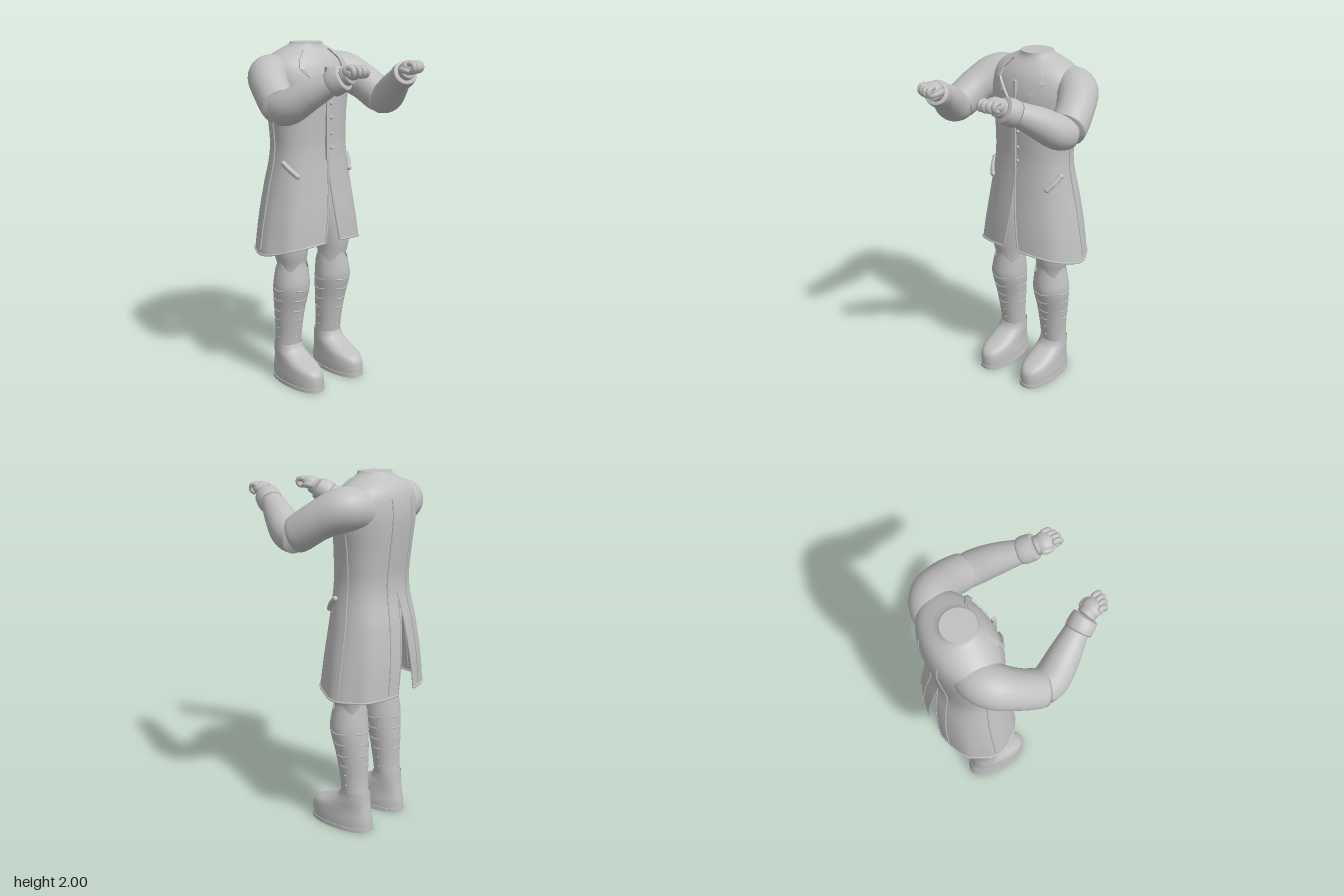
import * as THREE from 'three';
import { mergeVertices } from 'three/addons/utils/BufferGeometryUtils.js';

const V = (x, y, z) => new THREE.Vector3(x, y, z);
const grey = new THREE.MeshStandardMaterial({ color: 0xc0c0c0, side: THREE.DoubleSide });
grey.name = 'plain grey';

// weld a geometry so that its normals run smoothly across the seam
function weld(g) {
  g.deleteAttribute('normal');
  g.deleteAttribute('uv');
  g = mergeVertices(g, 1e-5);
  g.computeVertexNormals();
  return g;
}

// give every face its own corners, for crisp edges
function crisp(g) {
  g = g.toNonIndexed();
  g.computeVertexNormals();
  return g.setIndex([...Array(g.attributes.position.count).keys()]);
}

// surface from cross-sections: f(u, v) gives a point, u around and v upward
function loft(f, nu, nv) {
  const pos = [], idx = [], w = nu + 1;
  for (let j = 0; j <= nv; j++) for (let i = 0; i <= nu; i++) pos.push(...f(i / nu, j / nv).toArray());
  for (let j = 0; j < nv; j++) for (let i = 0; i < nu; i++) {
    const a = j * w + i, b = a + 1, c = a + w, d = c + 1;
    idx.push(a, b, d, a, d, c);
  }
  const g = new THREE.BufferGeometry();
  g.setAttribute('position', new THREE.Float32BufferAttribute(pos, 3));
  g.setIndex(idx);
  return weld(g);
}

// smooth interpolation of rows [key, ...values] at a key
function rowAt(rows, y) {
  let i = 0;
  while (i < rows.length - 2 && y > rows[i + 1][0]) i++;
  const t = THREE.MathUtils.clamp((y - rows[i][0]) / (rows[i + 1][0] - rows[i][0]), 0, 1);
  const at = k => rows[THREE.MathUtils.clamp(k, 0, rows.length - 1)];
  const [p, a, b, n] = [at(i - 1), at(i), at(i + 1), at(i + 2)];
  return a.map((_, k) => {
    const m0 = (b[k] - p[k]) / (b[0] - p[0]) * (b[0] - a[0]);
    const m1 = (n[k] - a[k]) / (n[0] - a[0]) * (b[0] - a[0]);
    const t2 = t * t, t3 = t2 * t;
    return (2 * t3 - 3 * t2 + 1) * a[k] + (t3 - 2 * t2 + t) * m0 + (3 * t2 - 2 * t3) * b[k] + (t3 - t2) * m1;
  });
}

// tapering limb through points [x, y, z, radius]
function limb(pts, sides = 24, steps = 24, close = false) {
  const curve = new THREE.CatmullRomCurve3(pts.map(p => V(p[0], p[1], p[2])));
  const g = new THREE.TubeGeometry(curve, steps, 1, sides);
  const P = g.attributes.position, v = V(0, 0, 0);
  const radii = pts.map((p, i) => [i, p[3]]);
  for (let i = 0; i < P.count; i++) {
    const s = Math.floor(i / (sides + 1)) / steps, c = curve.getPointAt(s);
    let r = rowAt(radii, curve.getUtoTmapping(s) * (pts.length - 1))[1];
    if (close && (s === 0 || s === 1)) r *= 0.02;
    v.fromBufferAttribute(P, i).sub(c).multiplyScalar(r).add(c);
    P.setXYZ(i, v.x, v.y, v.z);
  }
  return weld(g);
}

const cord = (pts, r = 0.005, n = 24) =>
  weld(new THREE.TubeGeometry(new THREE.CatmullRomCurve3(pts), n, r, 6));

function ball(x, y, z, rx, ry, rz) {
  return new THREE.SphereGeometry(1, 20, 14).scale(rx, ry, rz).translate(x, y, z);
}

// coat sections: height, half width, front z, back z
const COAT = [
  [0.82, 0.335, 0.0, -0.457], [1.0, 0.305, -0.01, -0.45], [1.2, 0.267, -0.03, -0.425],
  [1.35, 0.24, -0.045, -0.393], [1.45, 0.232, -0.05, -0.388], [1.6, 0.245, -0.045, -0.405],
  [1.72, 0.268, -0.042, -0.418], [1.8, 0.278, -0.047, -0.42], [1.88, 0.265, -0.07, -0.408],
  [1.93, 0.22, -0.1, -0.385], [1.965, 0.15, -0.13, -0.35], [1.985, 0.1, -0.14, -0.325],
  [2.0, 0.09, -0.14, -0.32]];
const soft = (s, p) => Math.sign(s) * Math.pow(Math.abs(s), p);
const roundness = y => THREE.MathUtils.lerp(0.85, 1, THREE.MathUtils.smoothstep(y, 1.4, 1.8));

function coat(a, y, out = 0) {
  const [, w, f, b] = rowAt(COAT, y), mid = (f + b) / 2, d = (f - b) / 2, p = roundness(y);
  const k = THREE.MathUtils.clamp((1.35 - y) / 0.5, 0, 1);
  const fold = 1 + 0.02 * k * Math.cos(8 * a);
  const x = w * fold * soft(Math.sin(a), p), z = d * soft(Math.cos(a), p);
  const n = V(x / (w * w), 0, z / (d * d)).normalize();
  return V(x + n.x * out, y, mid + z + n.z * out);
}
// point on the coat at a given x, on the front or the back
function coatAtX(x, y, out, back = false) {
  const a = Math.asin(Math.min(1, Math.pow(Math.abs(x) / rowAt(COAT, y)[1], 1 / roundness(y))));
  return coat(back ? Math.PI - a : a, y, out);
}
const SPLIT = 1.37;
const hemY = a => 0.825 - 0.01 * Math.sin(a) + 0.055 * Math.pow(Math.max(0, Math.cos(a)), 1.2);
function skirt(u, v, out = 0) {
  const a = THREE.MathUtils.lerp(0.12 * Math.pow(1 - v, 1.8), Math.PI - 0.17 * Math.pow(1 - v, 1.2), u);
  return coat(a, THREE.MathUtils.lerp(hemY(a), SPLIT, v), out);
}
const sample = (n, f) => Array.from({ length: n + 1 }, (_, i) => f(i / n));

// shoe sections: height, half width, toe z, heel z
const SHOE = [[0.02, 0.093, 0.06, -0.34], [0.06, 0.093, 0.06, -0.338], [0.1, 0.09, 0.052, -0.332],
  [0.125, 0.088, 0.025, -0.328], [0.145, 0.086, -0.025, -0.324], [0.17, 0.084, -0.085, -0.32],
  [0.2, 0.081, -0.135, -0.317], [0.235, 0.079, -0.155, -0.315]];

export function createModel() {
  const root = new THREE.Group();
  root.name = 'headlessFigureInCoat';
  const add = (name, g) => {
    const m = new THREE.Mesh(g, grey);
    m.name = name;
    root.add(m);
  };
  // left part plus its mirrored right twin
  const pair = (name, g) => {
    add(name + 'Left', g);
    const r = g.clone().applyMatrix4(new THREE.Matrix4().makeScale(-1, 1, 1)), I = r.index;
    for (let i = 0; i < I.count; i += 3) {
      const t = I.getX(i);
      I.setX(i, I.getX(i + 1));
      I.setX(i + 1, t);
    }
    add(name + 'Right', r);
  };

  // coat body, neck and split skirt
  add('coatBody', loft((u, v) => coat(u * Math.PI * 2, THREE.MathUtils.lerp(SPLIT, 2, v)), 64, 44));
  add('neckCap', new THREE.CircleGeometry(0.09, 40).rotateX(-Math.PI / 2).translate(0, 2, -0.23));
  pair('skirtPanel', loft(skirt, 56, 24));
  pair('skirtHem', cord(sample(40, u => skirt(u, 0)), 0.006, 80));
  pair('skirtFrontEdge', cord(sample(12, v => skirt(0, v, 0.002)), 0.006));
  pair('skirtBackEdge', cord(sample(12, v => skirt(1, v, 0.001)), 0.004));

  // seams
  pair('backSeam', cord(sample(24, t => {
    const y = THREE.MathUtils.lerp(0.84, 1.87, t);
    return coatAtX(0.085 + 0.12 * Math.max(0, 1.35 - y), y, 0.001, true);
  }), 0.005, 60));
  pair('sideSeam', cord(sample(20, t => coat(1.62, THREE.MathUtils.lerp(0.84, 1.7, t), 0.001)), 0.005, 50));

  // front placket and buttons
  add('placket', new THREE.BoxGeometry(0.018, 0.52, 0.022).translate(-0.006, 1.61, -0.045));
  for (const y of [1.75, 1.67, 1.59, 1.5, 1.42]) add('button', ball(0.02, y, -0.037, 0.01, 0.01, 0.008));

  // lapels: flat bands tapering to a point at the lower end
  const LAPEL = [[0.035, 1.75, 0.002], [0.085, 1.8, 0.011], [0.145, 1.865, 0.013], [0.135, 1.91, 0.011], [0.085, 1.96, 0.007]];
  const BAND = [[-1, -0.01], [1, -0.01], [1, 0.014], [-1, 0.014], [-1, -0.01]];
  pair('lapel', crisp(loft((u, v) => {
    const [x, y, w] = LAPEL[Math.round(v * 4)], [side, out] = BAND[Math.round(u * 4)];
    return coatAtX(x + side * w, y, out);
  }, 4, 4)));

  // pocket flaps
  const flap = [1.345, 1.31, 1.275].map((y, i) => coat(1.25 - i * 0.23, y, 0.006));
  pair('pocketFlap', cord(flap, 0.016, 10));
  for (const p of [flap[0], flap[2]]) pair('pocketFlapEnd', ball(p.x, p.y, p.z, 0.016, 0.016, 0.016));

  // arms
  pair('upperSleeve', limb([[0.14, 1.8, -0.27, 0.1], [0.21, 1.823, -0.258, 0.112], [0.275, 1.82, -0.22, 0.113],
    [0.335, 1.765, -0.12, 0.102], [0.366, 1.695, -0.015, 0.099], [0.372, 1.682, 0.015, 0.092]], 28, 28, true));
  pair('forearm', limb([[0.37, 1.668, -0.02, 0.085], [0.357, 1.69, 0.06, 0.092], [0.31, 1.755, 0.16, 0.082],
    [0.255, 1.815, 0.26, 0.063], [0.235, 1.835, 0.3, 0.055]], 28, 24, true));
  pair('cuff', limb([[0.256, 1.813, 0.268, 0.067], [0.242, 1.83, 0.295, 0.071], [0.225, 1.85, 0.33, 0.067],
    [0.22, 1.857, 0.342, 0.062]], 24, 12, true));
  pair('wrist', limb([[0.222, 1.853, 0.33, 0.05], [0.208, 1.875, 0.378, 0.048]], 16, 6, true));

  // fists
  pair('palm', ball(0.208, 1.882, 0.378, 0.054, 0.04, 0.052));
  for (let i = 0; i < 4; i++) {
    const x = 0.168 + i * 0.025, z = 0.422 + 0.022 * Math.sin(1 + i * 0.7);
    pair('finger', limb([[x + 0.003, 1.905, z - 0.045, 0.013], [x, 1.9, z, 0.015], [x, 1.875, z + 0.004, 0.014],
      [x + 0.002, 1.86, z - 0.03, 0.012]], 10, 12, true));
  }
  pair('thumb', limb([[0.18, 1.87, 0.335, 0.016], [0.163, 1.872, 0.365, 0.018], [0.162, 1.868, 0.395, 0.014],
    [0.175, 1.86, 0.42, 0.01]], 10, 12, true));

  // thighs
  pair('thigh', limb([[0.155, 0.66, -0.19, 0.08], [0.155, 0.74, -0.19, 0.086], [0.16, 0.83, -0.19, 0.102],
    [0.14, 1.0, -0.2, 0.11], [0.12, 1.25, -0.22, 0.1]], 24, 24, true));

  // gaiters with a scalloped top: height, centre x, centre z, radius
  const GAITER = [[0.2, 0.16, -0.237, 0.076], [0.3, 0.158, -0.225, 0.077], [0.45, 0.159, -0.212, 0.09],
    [0.6, 0.16, -0.19, 0.106], [0.67, 0.157, -0.189, 0.1], [0.74, 0.153, -0.19, 0.09]];
  const gaiter = (a, y, out = 0) => {
    const [, x, z, r] = rowAt(GAITER, y);
    return V(x + (r + out) * Math.sin(a), y, z + (r + out) * Math.cos(a));
  };
  pair('gaiter', loft((u, v) => {
    const a = u * Math.PI * 2;
    return gaiter(a, THREE.MathUtils.lerp(0.2, 0.735 + 0.025 * Math.cos(4 * a), v), 0.002);
  }, 48, 24));
  // short laced straps and the ties below them
  [0.595, 0.53, 0.46, 0.4].forEach((y, row) => {
    for (let k = 0; k < 4; k++) {
      const c = k * Math.PI / 2, w = 0.5 - row * 0.06;
      pair('strap', cord(sample(6, t => gaiter(c + (t * 2 - 1) * w, y - 0.006 * Math.sin(t * Math.PI), 0.001)), 0.005, 8));
    }
  });
  for (const y of [0.34, 0.28]) for (let k = 0; k < 4; k++) {
    const p = gaiter(k * Math.PI / 2, y, 0);
    pair('tie', ball(p.x, p.y, p.z, 0.007, 0.006, 0.007));
  }

  // shoes and soles
  const shoe = (a, y, grow) => {
    const [, w, f, b] = rowAt(SHOE, y);
    return V(0.157 + (w + grow) * soft(Math.sin(a), 0.85), y, (f + b) / 2 + ((f - b) / 2 + grow) * soft(Math.cos(a), 0.92));
  };
  pair('shoe', loft((u, v) => shoe(u * Math.PI * 2, THREE.MathUtils.lerp(0.02, 0.235, v), 0), 48, 24));
  // sole: underside, wall and ledge
  const SOLE = [[0, 0], [0, 0.004], [0.022, 0.004], [0.022, -0.01]];
  pair('sole', crisp(loft((u, v) => {
    const [y, grow] = SOLE[Math.round(v * 3)], p = shoe(u * Math.PI * 2, 0.02, grow);
    return v === 0 ? V(0.157, 0, -0.14) : V(p.x, y, p.z);
  }, 48, 3)));
  return root;
}
